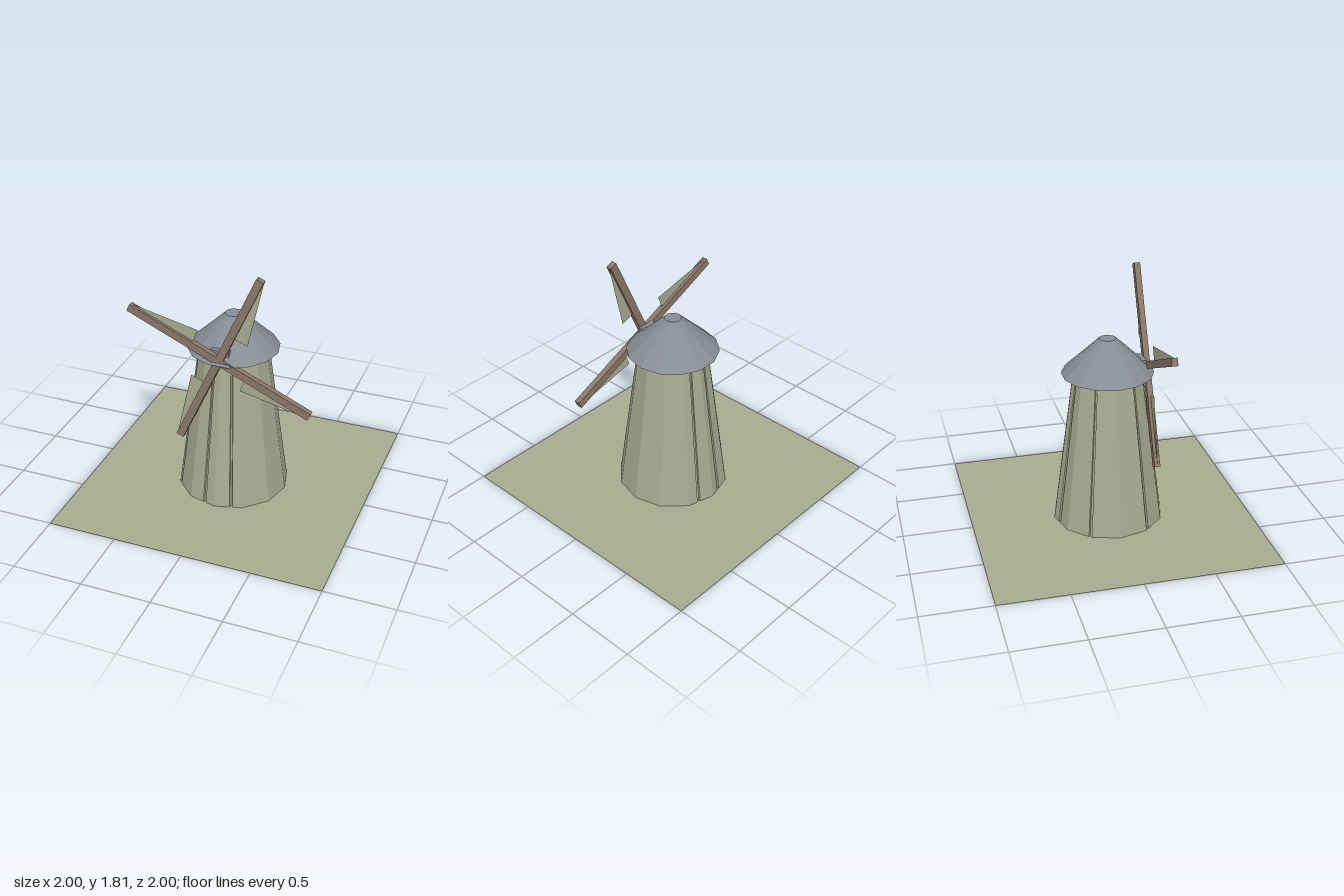
import * as THREE from 'three';

const rad = THREE.MathUtils.degToRad;

export function createModel() {
  const group = new THREE.Group();
  group.name = 'windmill';

  const paint = (name, color, extra = {}) => {
    const m = new THREE.MeshStandardMaterial({ color, ...extra });
    m.name = name;
    return m;
  };
  const plaster = paint('plaster and canvas', 0xa8aa90, { side: THREE.DoubleSide });
  const slate = paint('slate', 0x878d94, { flatShading: true });
  const wood = paint('wood', 0x8b7869);

  const add = (parent, name, geometry, material) => {
    const mesh = new THREE.Mesh(geometry, material);
    mesh.name = name;
    parent.add(mesh);
    return mesh;
  };

  // Ground sheet
  add(group, 'ground', new THREE.PlaneGeometry(2, 2).rotateX(-Math.PI / 2), plaster);

  // Tower: a twelve-sided outline with narrow grooves, tapering upward
  const R = 0.4, H = 1.13, topScale = 0.62;
  const edgeRadius = (deg) =>
    (R * Math.cos(rad(15))) / Math.cos(rad((((deg % 30) + 30) % 30) - 15));
  const outline = [];
  for (let k = 0; k < 12; k++) outline.push([k * 30, R]);
  for (const g of [72, 102, 148, 212, 258, 288]) {
    for (const [offset, depth] of [[-1.7, 0], [-1.1, 0.013], [1.1, 0.013], [1.7, 0]]) {
      outline.push([g + offset, edgeRadius(g + offset) - depth]);
    }
  }
  outline.sort((a, b) => a[0] - b[0]);
  const shape = new THREE.Shape(
    outline.map(([a, r]) => new THREE.Vector2(r * Math.cos(rad(a)), r * Math.sin(rad(a))))
  );
  const tower = new THREE.ExtrudeGeometry(shape, { depth: H, bevelEnabled: false });
  tower.rotateX(-Math.PI / 2);
  const p = tower.attributes.position;
  for (let i = 0; i < p.count; i++) {
    const s = THREE.MathUtils.lerp(1, topScale, p.getY(i) / H);
    p.setXYZ(i, p.getX(i) * s, p.getY(i), p.getZ(i) * s);
  }
  tower.computeVertexNormals();
  add(group, 'tower', tower, plaster);

  // Fourteen-sided cap, with a vertex on each side along x
  const roof = new THREE.CylinderGeometry(0.06, 0.327, 0.255, 14).rotateY(Math.PI / 2);
  add(group, 'roof', roof, slate).position.y = 1.2425;

  // Hub block between cap and sails
  add(group, 'hub', new THREE.BoxGeometry(0.13, 0.13, 0.16), slate).position.set(0, 1.138, 0.185);

  // Four arms, each with a triangular canvas on its clockwise side
  const rotor = new THREE.Group();
  rotor.name = 'rotor';
  rotor.position.set(0, 1.138, 0.282);
  rotor.rotation.z = rad(-24.2);
  group.add(rotor);
  const canvas = new THREE.ShapeGeometry(new THREE.Shape([
    new THREE.Vector2(0.02, 0.218),
    new THREE.Vector2(0.126, 0.222),
    new THREE.Vector2(0.027, 0.715),
  ]));
  for (let i = 0; i < 2; i++) {
    const beam = add(rotor, 'sailBeam', new THREE.BoxGeometry(0.055, 1.44, 0.042), wood);
    beam.rotation.z = (i * Math.PI) / 2;
  }
  for (let i = 0; i < 4; i++) {
    add(rotor, 'sailCanvas', canvas, plaster).rotation.z = (i * Math.PI) / 2;
  }

  return group;
}
